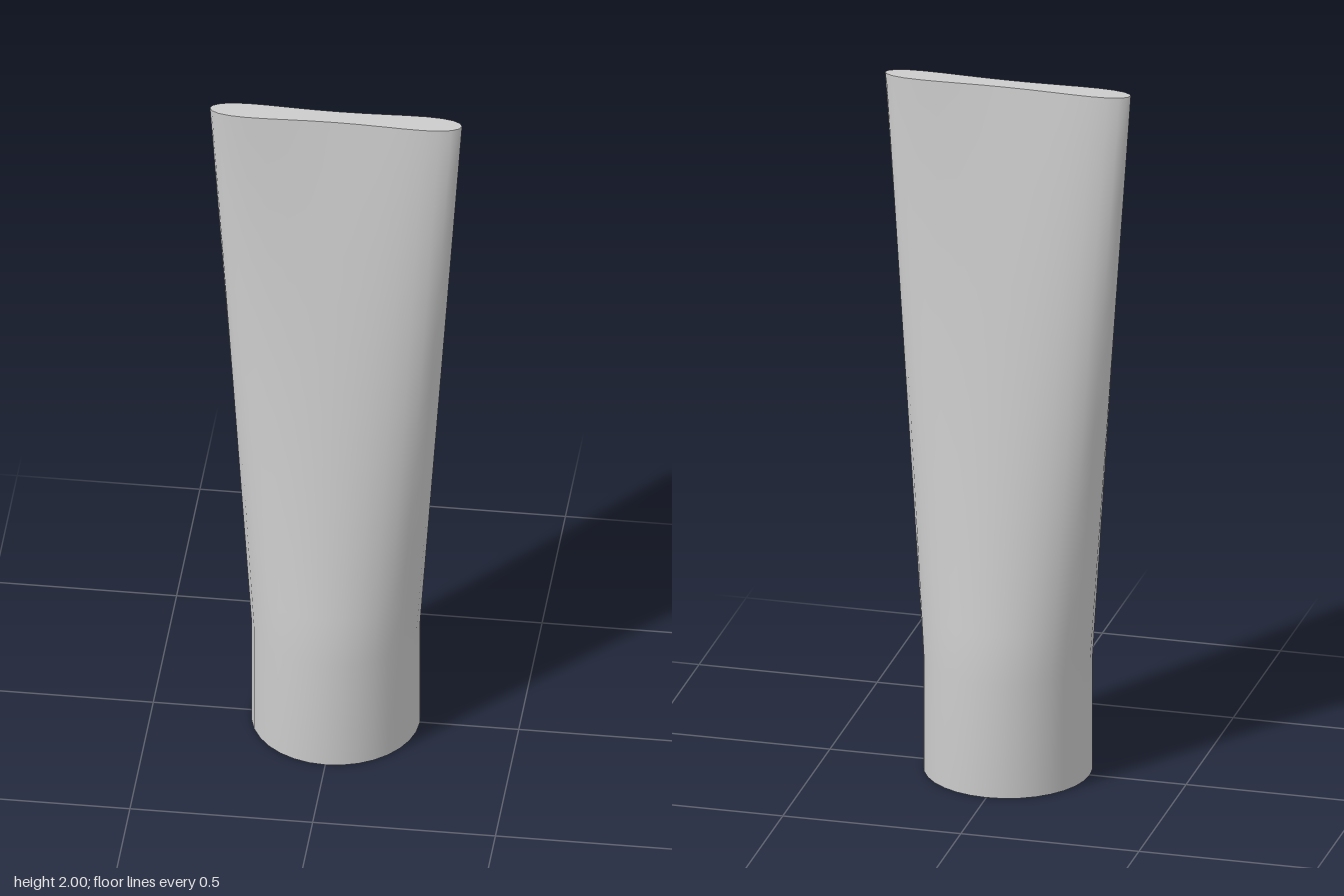
import * as THREE from 'three';

const SIDES = 32, ROWS = 12;
const HEIGHT = 2, SHOULDER = 0.33, RADIUS = 0.23, TOP_HALF_WIDTH = 0.345;

// Outline point at blend t: round base (0) to flat, slightly waisted top (1)
function outline(i, t) {
  const a = (i / SIDES) * Math.PI * 2;
  const s = Math.sin(a), c = Math.cos(a);
  const topZ = c * (0.0255 + 0.041 * s * s);
  return [
    THREE.MathUtils.lerp(RADIUS, TOP_HALF_WIDTH, t) * s,
    THREE.MathUtils.lerp(RADIUS * c, topZ, t),
  ];
}

// Side wall: straight collar, then a ruled taper to the flat end
function makeWall() {
  const levels = [[0, 0]];
  for (let r = 0; r <= ROWS; r++) {
    const t = r / ROWS;
    levels.push([THREE.MathUtils.lerp(SHOULDER, HEIGHT, t), t]);
  }
  const positions = [], indices = [];
  levels.forEach(([y, t], r) => {
    for (let i = 0; i < SIDES; i++) {
      const [x, z] = outline(i, t);
      positions.push(x, y, z);
      if (r === 0) continue;
      const next = (i + 1) % SIDES;
      const a = (r - 1) * SIDES + i, b = (r - 1) * SIDES + next;
      const c = r * SIDES + next, d = r * SIDES + i;
      indices.push(a, b, c, a, c, d);
    }
  });
  const geometry = new THREE.BufferGeometry();
  geometry.setAttribute('position', new THREE.Float32BufferAttribute(positions, 3));
  geometry.setIndex(indices);
  geometry.computeVertexNormals();
  return geometry;
}

// Flat cap filling the outline, facing up or down
function makeCap(t, y, up) {
  const points = [];
  for (let i = 0; i < SIDES; i++) {
    const [x, z] = outline(i, t);
    points.push(new THREE.Vector2(x, up ? -z : z));
  }
  const geometry = new THREE.ShapeGeometry(new THREE.Shape(points));
  geometry.rotateX(up ? -Math.PI / 2 : Math.PI / 2);
  geometry.translate(0, y, 0);
  return geometry;
}

export function createModel() {
  const group = new THREE.Group();
  group.name = 'flattenedTube';
  const material = new THREE.MeshStandardMaterial({ color: 0xcccccc });
  const add = (name, geometry) => {
    const mesh = new THREE.Mesh(geometry, material);
    mesh.name = name;
    group.add(mesh);
  };
  add('tubeWall', makeWall());
  add('roundBase', makeCap(0, 0, false));
  add('flatTop', makeCap(1, HEIGHT, true));
  return group;
}
